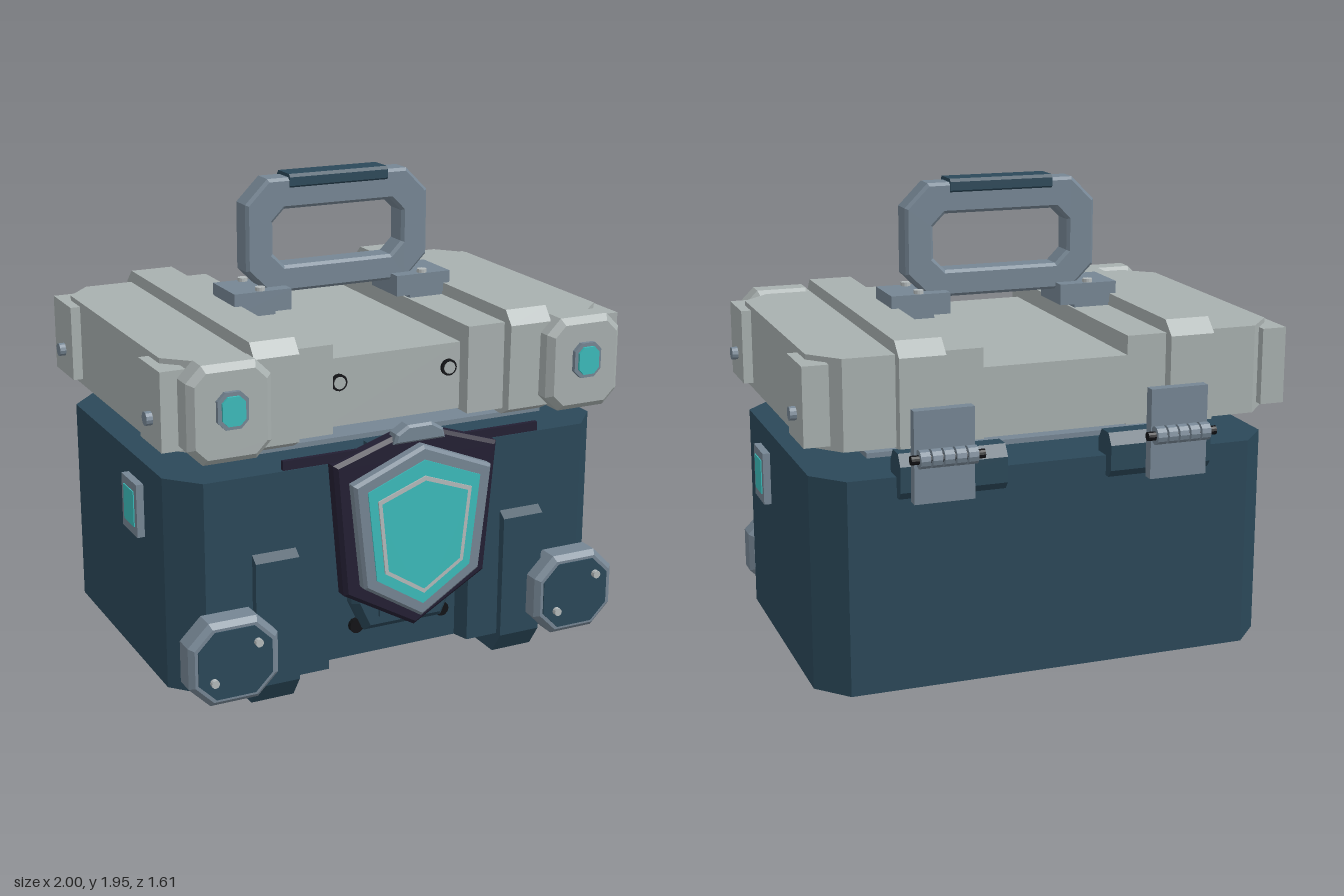
import * as THREE from 'three';

const mat = (name, color) => {
  const m = new THREE.MeshStandardMaterial({ color, flatShading: true });
  m.name = name;
  return m;
};
const M = {
  navy: mat('navy', 0x2b4859),
  grey: mat('light grey', 0xa8b0af),
  steel: mat('steel', 0x768694),
  teal: mat('teal', 0x3cbcbb),
  purple: mat('dark purple', 0x231f33),
  black: mat('black', 0x121316),
  screw: mat('pale metal', 0xb4babb),
};
const SIDES = [-1, 1];

export function createModel() {
  const root = new THREE.Group();
  root.name = 'toolCase';

  const add = (name, geo, material, x = 0, y = 0, z = 0) => {
    const mesh = new THREE.Mesh(geo, material);
    mesh.name = name;
    mesh.position.set(x, y, z);
    root.add(mesh);
    return mesh;
  };
  // box given by its extents
  const box = (name, m, x0, x1, y0, y1, z0, z1) =>
    add(name, new THREE.BoxGeometry(Math.abs(x1 - x0), y1 - y0, Math.abs(z1 - z0)), m,
      (x0 + x1) / 2, (y0 + y1) / 2, (z0 + z1) / 2);
  const shapeOf = (pts) => new THREE.Shape(pts.map(([a, b]) => new THREE.Vector2(a, b)));
  const extrude = (pts, depth, bevel = 0, hole = null) => {
    const s = shapeOf(pts);
    if (hole) s.holes.push(shapeOf(hole));
    const g = new THREE.ExtrudeGeometry(s, {
      depth: depth - 2 * bevel, bevelEnabled: bevel > 0, bevelSize: bevel,
      bevelThickness: bevel, bevelOffset: -bevel, bevelSegments: 1,
    });
    return g.translate(0, 0, bevel);
  };
  // front outline (x, y) extruded over z0..z1
  const frontPlate = (name, m, pts, z0, z1, bevel = 0, hole = null) =>
    add(name, extrude(pts, z1 - z0, bevel, hole), m, 0, 0, z0);
  // plan outline (x, z) extruded over y0..y1
  const plan = (name, m, pts, y0, y1) =>
    add(name, extrude(pts.map(([x, z]) => [x, -z]), y1 - y0).rotateX(-Math.PI / 2), m, 0, y0, 0);
  // side outline (z, y) extruded over x0..x1
  const profile = (name, m, pts, x0, x1) =>
    add(name, extrude(pts.map(([z, y]) => [-z, y]), x1 - x0).rotateY(Math.PI / 2), m, x0, 0, 0);
  // rectangle with cut corners
  const octagon = (cx, cy, w, h, c) => [
    [cx - w + c, cy - h], [cx + w - c, cy - h], [cx + w, cy - h + c], [cx + w, cy + h - c],
    [cx + w - c, cy + h], [cx - w + c, cy + h], [cx - w, cy + h - c], [cx - w, cy - h + c]];
  // cylinder along an axis
  const rod = (name, m, r, len, axis, x, y, z, n = 12) => {
    const g = new THREE.CylinderGeometry(r, r, len, n);
    if (axis === 'x') g.rotateZ(Math.PI / 2);
    if (axis === 'z') g.rotateX(Math.PI / 2);
    return add(name, g, m, x, y, z);
  };
  // symmetric outline from its right half (top centre to bottom centre)
  const mirrored = (half) => [...half, ...half.slice(1, -1).reverse().map(([x, y]) => [-x, y])];

  // Body with cut corners and a recessed front centre
  const bodyHalf = [[0.29, 0.535], [0.31, 0.605], [0.82, 0.605], [0.935, 0.48], [0.935, -0.53], [0.82, -0.655]];
  plan('body', M.navy, [...bodyHalf, ...bodyHalf.map(([x, z]) => [-x, z]).reverse()], 0.09, 0.94);
  box('gasket', M.steel, -0.7, 0.7, 0.975, 0.995, -0.5, 0.48);

  // Lid centre trough
  box('lidCentre', M.grey, -0.295, 0.295, 1.06, 1.33, -0.66, 0.535);

  for (const s of SIDES) {
    // Lid side sections and raised bands
    plan('lidSide', M.grey, [[0.29, 0.6], [0.82, 0.6], [0.935, 0.49], [0.935, -0.54], [0.83, -0.66], [0.29, -0.66]]
      .map(([x, z]) => [s * x, z]), 1.055, 1.405);
    const bandX = s > 0 ? 0.45 : -0.63;
    profile('lidBand', M.grey, [[0.59, 1.03], [0.645, 1.06], [0.65, 1.4], [0.605, 1.455], [-0.65, 1.455],
      [-0.708, 1.4], [-0.708, 1.06], [-0.66, 1.05]], bandX, bandX + 0.18);

    // Lid corner pads with bolts
    for (const [z0, z1, zb] of [[0.38, 0.6, 0.495], [-0.645, -0.42, -0.53]]) {
      box('lidCornerPad', M.grey, s * 0.875, s * 0.975, 1.08, 1.385, z0, z1);
      rod('padBolt', M.steel, 0.027, 0.05, 'x', s * 0.975, 1.185, zb);
    }

    // Front corner blocks with glowing inset
    frontPlate('lidFrontBlock', M.grey, octagon(s * 0.75, 1.232, 0.165, 0.187, 0.06), 0.59, 0.72, 0.025);
    frontPlate('lampFrame', M.steel, octagon(s * 0.75, 1.25, 0.06, 0.07, 0.03), 0.715, 0.738, 0,
      octagon(s * 0.75, 1.25, 0.045, 0.055, 0.022));
    frontPlate('lamp', M.teal, octagon(s * 0.75, 1.25, 0.045, 0.055, 0.022), 0.715, 0.748);

    // Lid front screws
    rod('lidScrewRing', M.black, 0.033, 0.016, 'z', s * 0.237, 1.235, 0.54, 16);
    rod('lidScrew', M.grey, 0.024, 0.022, 'z', s * 0.237, 1.235, 0.542, 16);

    // Front legs
    profile('frontLeg', M.navy, [[0.38, 0.1], [0.43, 0], [0.575, 0], [0.635, 0.09], [0.64, 0.6],
      [0.6, 0.63], [0.5, 0.63], [0.5, 0.1]], bandX, bandX + 0.18);

    // Lower corner bumpers
    const cx = s * 0.75;
    frontPlate('bumperFrame', M.steel, octagon(cx, 0.257, 0.182, 0.168, 0.085), 0.595, 0.715, 0.02);
    frontPlate('bumperInset', M.navy, octagon(cx, 0.257, 0.15, 0.137, 0.07), 0.71, 0.72);
    for (const [dx, dy] of [[0.09, 0.07], [-0.09, -0.062]]) {
      rod('bumperScrew', M.screw, 0.016, 0.03, 'z', cx + dx, 0.257 + dy, 0.725);
    }

    // Side windows
    box('sideWindowFrame', M.steel, s * 0.93, s * 0.965, 0.635, 0.85, 0.11, 0.275);
    box('sideWindow', M.teal, s * 0.96, s * 0.969, 0.672, 0.815, 0.138, 0.248);

    // Hinges
    const hingeX = s > 0 ? 0.21 : -0.63;
    profile('hingeBlock', M.navy, [[-0.58, 0.9], [-0.61, 0.86], [-0.68, 0.86], [-0.705, 0.89], [-0.705, 0.99],
      [-0.675, 1.035], [-0.61, 1.035], [-0.58, 0.99]], hingeX, hingeX + 0.42);
    box('hingePlate', M.steel, s * 0.355, s * 0.59, 0.855, 1.21, -0.748, -0.705);
    rod('hingePin', M.black, 0.018, 0.285, 'x', s * 0.47, 1.035, -0.775);
    for (let i = -2; i <= 2; i++) {
      rod('hingeKnuckle', M.steel, 0.036, 0.038, 'x', s * 0.47 + i * 0.046, 1.035, -0.773);
    }

    // Handle feet with screws
    box('handleFoot', M.steel, s * 0.235, s * 0.478, 1.42, 1.505, -0.11, 0.11);
    box('handleFootBase', M.steel, s * 0.3, s * 0.45, 1.4, 1.425, -0.1, 0.1);
    for (const z of [-0.088, 0.088]) rod('footScrew', M.screw, 0.02, 0.02, 'y', s * 0.36, 1.51, z);

    // Latch plate screws and side bars
    rod('latchScrew', M.black, 0.03, 0.02, 'z', s * 0.19, 0.25, 0.6);
    box('latchBar', M.purple, s * 0.2, s * 0.545, 0.982, 1.018, 0.69, 0.708);
  }

  // Carrying handle
  frontPlate('handle', M.steel, octagon(0, 1.705, 0.4, 0.228, 0.095), -0.055, 0.055, 0.012,
    octagon(0, 1.697, 0.285, 0.113, 0.05));
  profile('handleGrip', M.navy, octagon(0, 1.918, 0.062, 0.029, 0.012), -0.215, 0.215);

  // Latch base behind the shield
  frontPlate('latchPlate', M.navy, [[-0.17, 0.24], [0.17, 0.24], [0.225, 0.36], [0.225, 0.66], [0.17, 0.73],
    [-0.17, 0.73], [-0.225, 0.66], [-0.225, 0.36]], 0.565, 0.655, 0.025);
  box('latchStem', M.navy, -0.12, 0.12, 0.3, 0.98, 0.52, 0.67);
  frontPlate('latchTab', M.steel, [[-0.11, 1.03], [0.11, 1.03], [0.1, 1.07], [0.05, 1.1], [-0.05, 1.1],
    [-0.1, 1.07]], 0.69, 0.757, 0.01);

  // Shield layers
  const outer = mirrored([[0, 1.09], [0.35, 0.975], [0.305, 0.445], [0, 0.27]]);
  const rim = mirrored([[0, 1.025], [0.295, 0.905], [0.248, 0.485], [0, 0.33]]);
  const face = mirrored([[0, 0.97], [0.24, 0.875], [0.2, 0.515], [0, 0.387]]);
  const lineOut = mirrored([[0, 0.908], [0.2, 0.835], [0.168, 0.54], [0, 0.432]]);
  const lineIn = mirrored([[0, 0.89], [0.184, 0.823], [0.154, 0.549], [0, 0.45]]);
  frontPlate('shieldBack', M.purple, outer, 0.665, 0.738, 0.015);
  frontPlate('shieldRim', M.steel, rim, 0.735, 0.793, 0.012);
  frontPlate('shieldFace', M.teal, face, 0.79, 0.798);
  frontPlate('shieldLine', M.screw, lineOut, 0.796, 0.804, 0, lineIn);

  return root;
}
